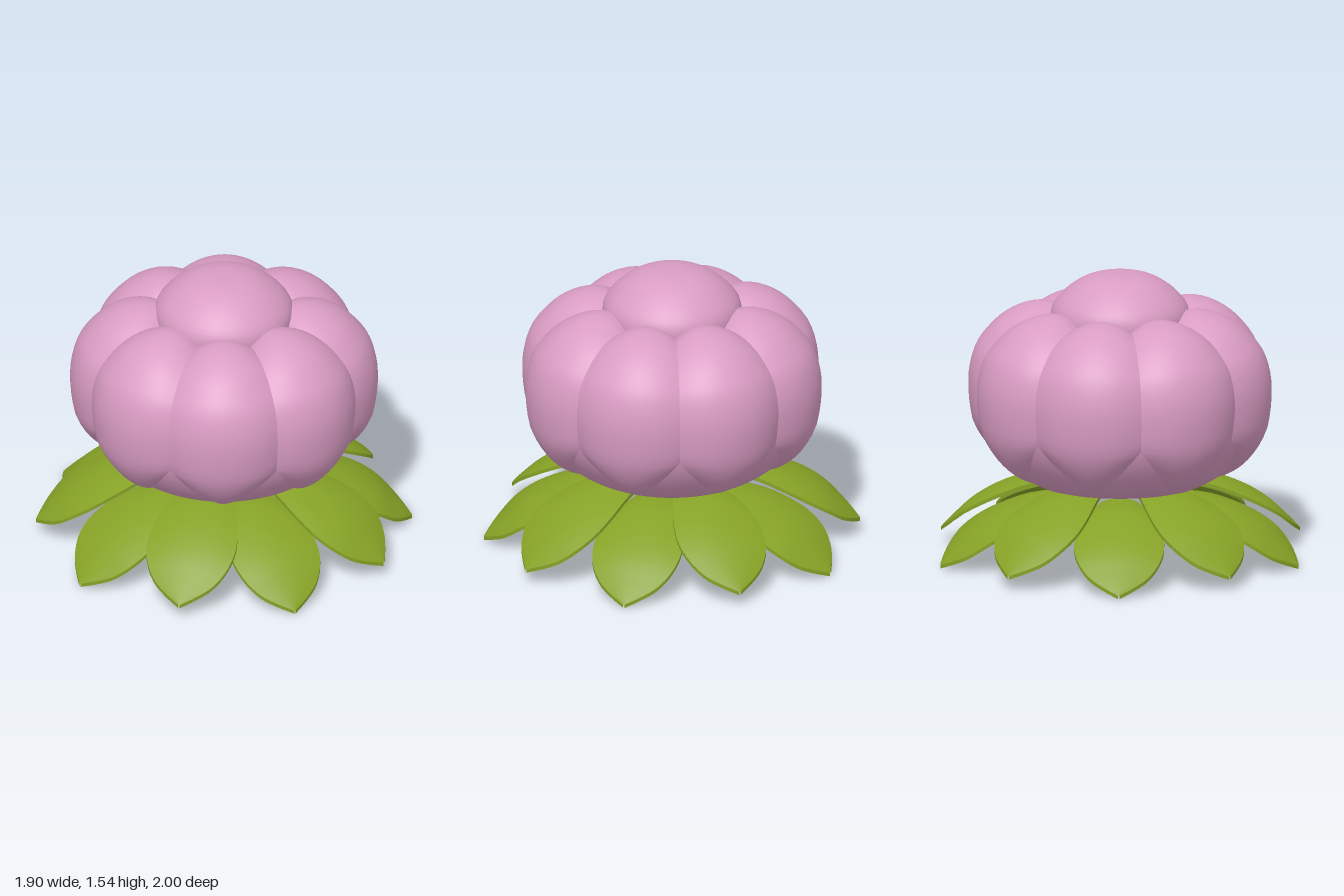
import * as THREE from 'three';
import { mergeGeometries } from 'three/addons/utils/BufferGeometryUtils.js';

const pink = new THREE.MeshStandardMaterial({ name: 'petal pink', color: 0xd99cc3 });
const green = new THREE.MeshStandardMaterial({ name: 'leaf green', color: 0x86a226 });

// Smooth surface from a rule f(u, v) -> [x, y, z]; faces look along du x dv
function surface(nu, nv, f) {
  const pos = [], index = [];
  for (let j = 0; j <= nv; j++)
    for (let i = 0; i <= nu; i++) pos.push(...f(i / nu, j / nv));
  for (let j = 0; j < nv; j++)
    for (let i = 0; i < nu; i++) {
      const a = j * (nu + 1) + i, b = a + nu + 1;
      index.push(a, a + 1, b + 1, a, b + 1, b);
    }
  const g = new THREE.BufferGeometry();
  g.setAttribute('position', new THREE.Float32BufferAttribute(pos, 3));
  g.setIndex(index);
  g.computeVertexNormals();
  return g;
}

const curve = pts => new THREE.CatmullRomCurve3(pts.map(p => new THREE.Vector3(p[0], p[1], p[2] || 0)));

// Crown line of a petal as radius and height, from the base over to the inside
const profile = curve([
  [0.30, 0.375], [0.45, 0.385], [0.55, 0.42], [0.64, 0.475], [0.72, 0.56], [0.785, 0.69],
  [0.815, 0.86], [0.812, 1.0], [0.775, 1.13], [0.71, 1.22], [0.635, 1.29], [0.53, 1.345],
  [0.42, 1.365], [0.33, 1.35],
]);

// Profile point sunk inwards by d
function sunk(v, d) {
  const p = profile.getPoint(v), t = profile.getTangent(v);
  return [p.x - t.y * d, p.y + t.x * d];
}

const DEPTH = 0.06;
const HALF = Math.PI / 8;

// One bulging petal whose lower part narrows to a point
function petalGeometry() {
  return surface(16, 36, (u, v0) => {
    const v = 0.1 + 0.9 * v0;
    const t = u * 2 - 1;
    const h = THREE.MathUtils.clamp((profile.getPoint(v).y - 0.39) / 0.33, 0.0001, 1);
    const width = Math.pow(h, 0.75);
    const [r, y] = sunk(v, DEPTH * (1 - Math.pow(width, 0.6) * (1 - t * t)));
    const a = t * HALF * width;
    return [r * Math.sin(a), y, r * Math.cos(a)];
  });
}

// Half width, height and reach along the midline of a leaf
const leafLine = curve([
  [0.004, 0.02, 1.0], [0.085, 0.07, 0.955], [0.16, 0.125, 0.9], [0.218, 0.2, 0.82],
  [0.24, 0.265, 0.72], [0.222, 0.32, 0.6], [0.17, 0.365, 0.45], [0.09, 0.375, 0.27],
]);

// Arched leaf with a thin rim, pointing to +z
function leafGeometry() {
  const at = (t, v, drop) => {
    const p = leafLine.getPoint(v);
    return [t * p.x, p.y - 0.045 * t * t * p.x / 0.24 - drop, p.z];
  };
  const thick = 0.02;
  return mergeGeometries([
    surface(10, 20, (u, v) => at(u * 2 - 1, v, 0)),
    surface(10, 20, (u, v) => at(1 - u * 2, v, thick)),
    surface(20, 1, (u, v) => at(-1, 1 - u, thick * (1 - v))),
    surface(20, 1, (u, v) => at(1, u, thick * (1 - v))),
  ]);
}

export function createModel() {
  const model = new THREE.Group();
  model.name = 'flower';
  const add = (geometry, material, name, angle = 0, y = 0) => {
    const mesh = new THREE.Mesh(geometry, material);
    mesh.name = name;
    mesh.rotation.y = angle;
    mesh.position.y = y;
    model.add(mesh);
  };

  // Core that shows between the petal bases and closes the underside
  const corePoints = [new THREE.Vector2(0, 0.378), new THREE.Vector2(0.25, 0.378)];
  for (let i = 4; i <= 40; i++) {
    const [r, y] = sunk(i / 40, DEPTH + 0.001);
    corePoints.push(new THREE.Vector2(r, Math.max(0.378, y - (i < 12 ? 0.05 * (1 - i / 12) : 0))));
  }
  add(new THREE.LatheGeometry(corePoints, 64), pink, 'core');

  // Eight petals
  const petal = petalGeometry();
  for (let i = 0; i < 8; i++) add(petal, pink, 'petal' + (i + 1), (i + 0.5) * HALF * 2);

  // Rounded heart on top
  const dome = curve([
    [0.34, 1.15], [0.368, 1.26], [0.362, 1.355], [0.3, 1.437], [0.2, 1.507], [0.1, 1.537], [0, 1.541],
  ]).getPoints(24).map(p => new THREE.Vector2(Math.max(0, p.x), p.y));
  add(new THREE.LatheGeometry(dome, 40), pink, 'heart');

  // Ten leaves, every second one sitting higher
  const leaf = leafGeometry();
  for (let i = 0; i < 10; i++) add(leaf, green, 'leaf' + (i + 1), i * Math.PI / 5, i % 2 ? 0.06 : 0);

  return model;
}
